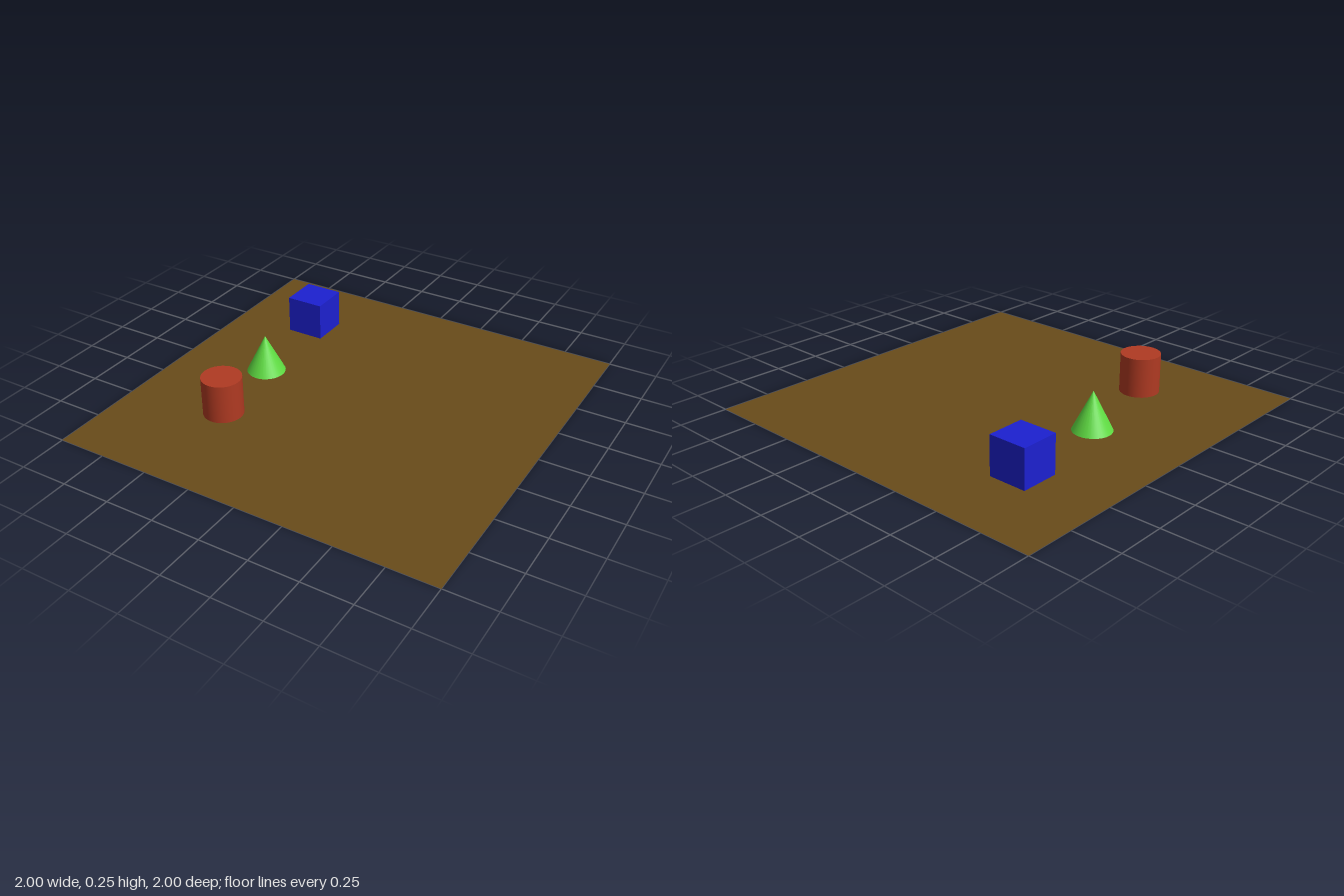
import * as THREE from 'three';

export function createModel() {
  const model = new THREE.Group();

  const add = (name, geometry, color, x, y, z) => {
    const mesh = new THREE.Mesh(geometry, new THREE.MeshStandardMaterial({ color }));
    mesh.name = name;
    mesh.position.set(x, y, z);
    model.add(mesh);
    return mesh;
  };

  // Flat square ground sheet, seen from both sides
  const sheet = new THREE.PlaneGeometry(2, 2).rotateX(-Math.PI / 2);
  add('groundSheet', sheet, 0x694b1a, 0, 0, 0).material.side = THREE.DoubleSide;

  // Three solids hovering just above the sheet
  add('cube', new THREE.BoxGeometry(0.2, 0.2, 0.2), 0x1c20d0, -0.56, 0.107, -0.542);
  add('cone', new THREE.ConeGeometry(0.1, 0.2, 32), 0x5fdc42, -0.515, 0.121, 0);
  add('cylinder', new THREE.CylinderGeometry(0.1, 0.1, 0.2, 32), 0xb03a22, -0.437, 0.152, 0.476);

  return model;
}
